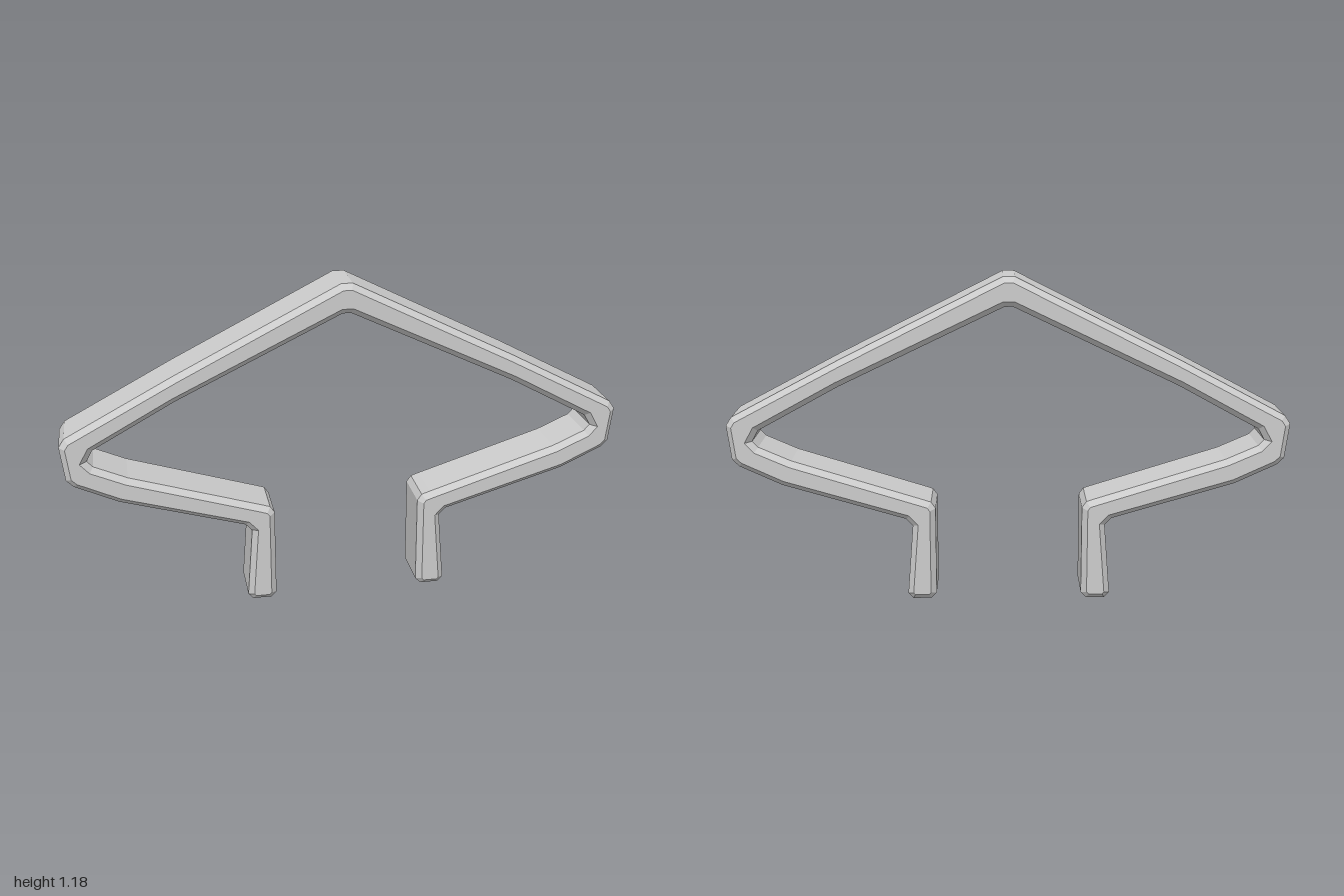
import * as THREE from 'three';

export function createModel() {
  const group = new THREE.Group();
  const material = new THREE.MeshStandardMaterial({ color: 0xcccccc, flatShading: true });

  // Half outline of the bent strip: outer side from apex to foot, then inner side back up
  const half = [
    [0.02, 1.18], [0.6, 0.887], [0.98, 0.685], [1.0, 0.655], [0.985, 0.53], [0.96, 0.505],
    [0.81, 0.435], [0.37, 0.305], [0.347, 0.28],
    [0.368, 0.02], [0.35, 0], [0.283, 0], [0.264, 0.02],
    [0.264, 0.345], [0.28, 0.368], [0.31, 0.378],
    [0.775, 0.524], [0.89, 0.575], [0.91, 0.597], [0.888, 0.636],
    [0.6, 0.794], [0.015, 1.075],
  ];
  const mirrored = half.map(([x, y]) => [-x, y]).reverse();
  const outline = [...half, ...mirrored].map(([x, y]) => new THREE.Vector2(x, y));

  // Strip with chamfered front and back edges
  const halfDepth = 0.105, chamfer = 0.02;
  const depth = 2 * (halfDepth - chamfer);
  const geometry = new THREE.ExtrudeGeometry(new THREE.Shape(outline), {
    depth,
    bevelEnabled: true,
    bevelSegments: 1,
    bevelThickness: chamfer,
    bevelSize: chamfer,
    bevelOffset: -chamfer,
  });
  geometry.translate(0, 0, -depth / 2);

  const strip = new THREE.Mesh(geometry, material);
  strip.name = 'bentStrip';
  group.add(strip);
  return group;
}
